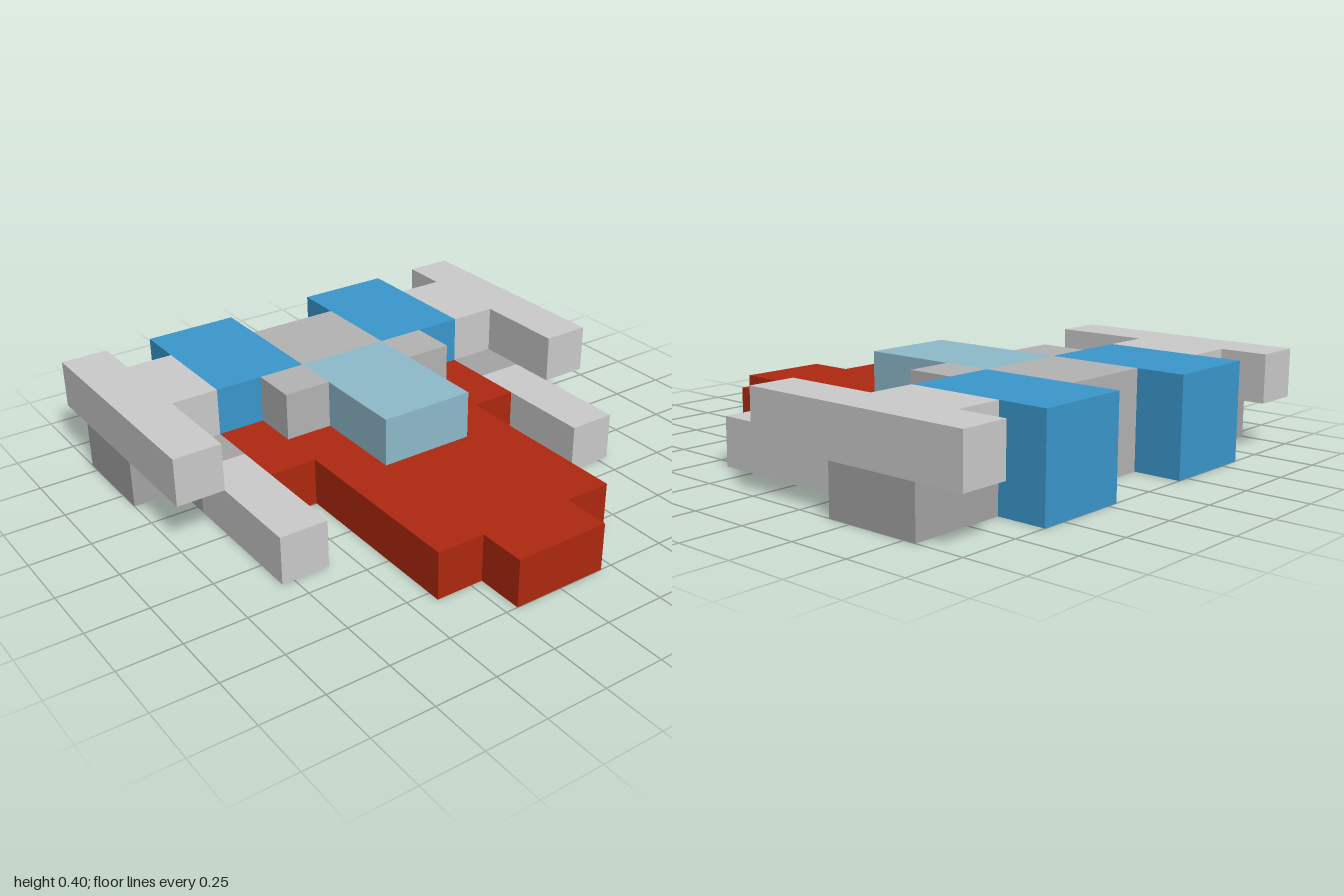
import * as THREE from 'three';

const CELL = 0.2; // plans below are measured in grid cells

const paint = (color) => new THREE.MeshStandardMaterial({ color, flatShading: true });
const lightGrey = paint(0xcccccc);
const midGrey = paint(0xb4b4b4);
const darkGrey = paint(0xa5a5a5);
const red = paint(0xb02910);
const blue = paint(0x3998cd);
const glass = paint(0x8fbbcb);

// Raises a plan outline of [x, z] points from height y0 to y1
function slab(name, material, plan, y0, y1) {
  const shape = new THREE.Shape(plan.map(([x, z]) => new THREE.Vector2(x * CELL, -z * CELL)));
  const geometry = new THREE.ExtrudeGeometry(shape, { depth: (y1 - y0) * CELL, bevelEnabled: false });
  geometry.rotateX(-Math.PI / 2).translate(0, y0 * CELL, 0);
  const mesh = new THREE.Mesh(geometry, material);
  mesh.name = name;
  return mesh;
}

const rect = (x0, x1, z0, z1) => [[x0, z0], [x1, z0], [x1, z1], [x0, z1]];

export function createModel() {
  const model = new THREE.Group();
  model.name = 'spacecraft';

  // Red hull: stepped nose with two arms running back around the cockpit
  const half = [[1, 5], [1, 4], [2, 4], [2, 0], [3, 0], [3, -2], [2, -2], [2, -1], [1, -1], [1, 1]];
  const mirrored = half.map(([x, z]) => [-x, z]).reverse();
  model.add(slab('hull', red, [...half, ...mirrored], 0, 1));

  // Cockpit and the block behind it
  model.add(slab('cockpit', glass, rect(-1, 1, -2, 1), 0, 2));
  model.add(slab('rearBody', midGrey, rect(-1, 1, -4, -2), 0, 2));

  for (const [side, s] of [['left', 1], ['right', -1]]) {
    const add = (part, material, plan, y0, y1) =>
      model.add(slab(side + part, material, plan.map(([x, z]) => [x * s, z]), y0, y1));

    // Engine and the small block in front of it
    add('Engine', blue, rect(1, 3, -5, -2), 0, 2);
    add('CockpitShoulder', midGrey, rect(1, 2, -2, -1), 0, 2);

    // Upper wing with its long outer rail
    add('UpperWing', lightGrey,
      [[3, -4], [4, -4], [4, -5], [5, -5], [5, 0], [4, 0], [4, -2], [3, -2]], 1, 2);

    // Lower wing support and the forward prong
    add('LowerWing', darkGrey,
      [[3, -4], [5, -4], [5, -2], [4, -2], [4, -1], [3, -1]], 0, 1);
    add('Prong', lightGrey, rect(3, 4, -1, 2), 0, 1);
  }
  return model;
}
